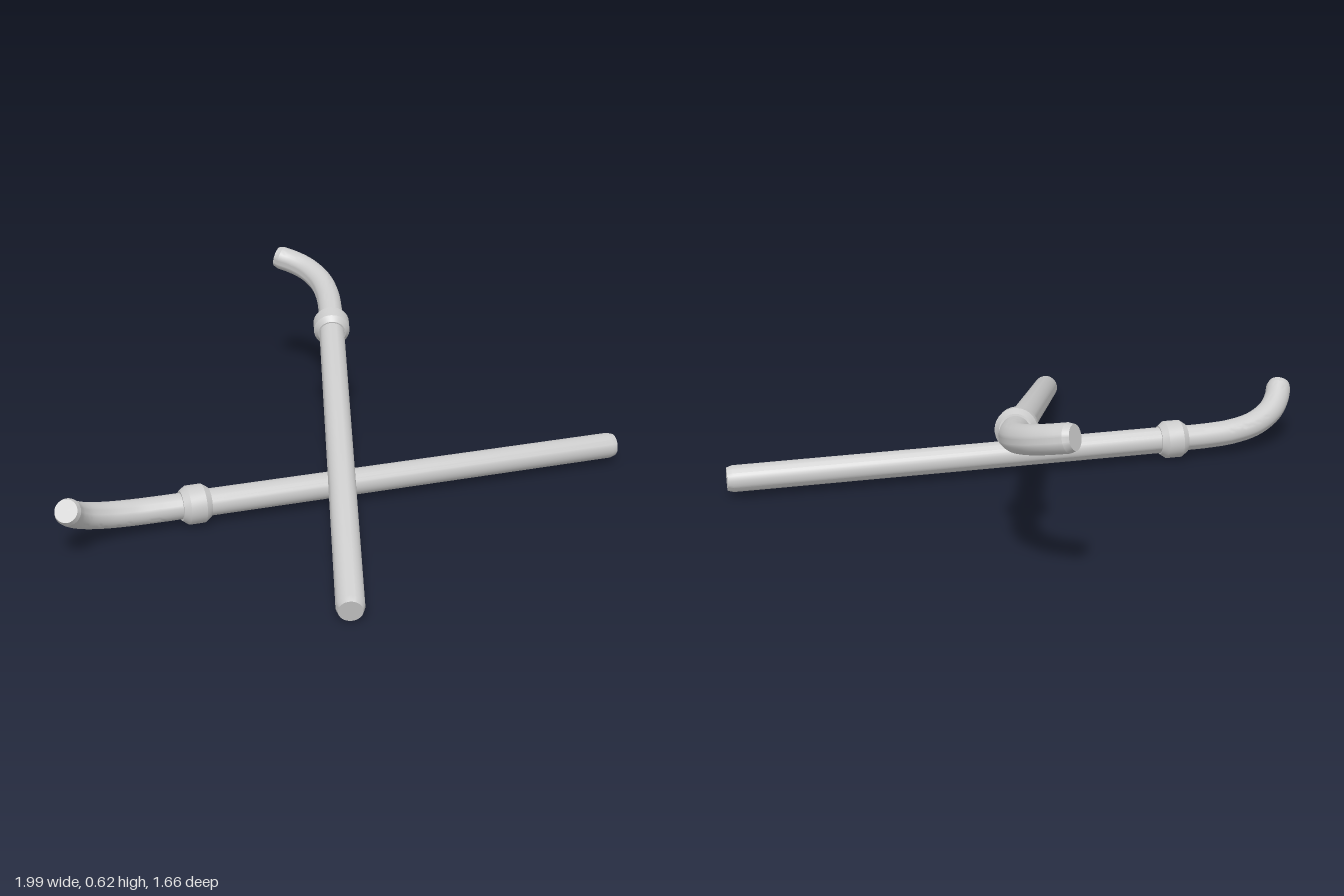
import * as THREE from 'three';
import { toCreasedNormals } from 'three/addons/utils/BufferGeometryUtils.js';

const SIDES = 32;
const material = new THREE.MeshStandardMaterial({ color: 0xcccccc });

function addMesh(parent, geometry, name) {
  const mesh = new THREE.Mesh(toCreasedNormals(geometry, 0.45), material);
  mesh.name = name;
  parent.add(mesh);
  return mesh;
}

// Lathe around the y axis; profile points are [radius, height] from bottom to top
function lathe(profile) {
  return new THREE.LatheGeometry(profile.map(([r, y]) => new THREE.Vector2(r, y)), SIDES);
}

// One pipe: the collar sits at the origin, the straight tube runs along -x,
// and the spout leaves along +x and curves towards +y
function makePipe(name, tail, collar, bendDirection) {
  const pipe = new THREE.Group();
  pipe.name = name;
  const length = tail.distanceTo(collar);

  // Straight tube with a chamfered closed end
  const straight = lathe([
    [0, -length], [0.043, -length], [0.05, -length + 0.022], [0.051, 0],
  ]).rotateZ(-Math.PI / 2);
  addMesh(pipe, straight, 'straightTube');

  // Chamfered collar
  const ring = lathe([
    [0.045, -0.054], [0.056, -0.054], [0.073, -0.03],
    [0.073, 0.03], [0.056, 0.054], [0.045, 0.054],
  ]).rotateZ(-Math.PI / 2);
  addMesh(pipe, ring, 'collar');

  // Curved spout
  const curve = new THREE.CatmullRomCurve3([
    [0, 0], [0.14, 0.001], [0.25, 0.01], [0.35, 0.037],
    [0.433, 0.09], [0.48, 0.15], [0.503, 0.2],
  ].map(([x, y]) => new THREE.Vector3(x, y, 0)));
  addMesh(pipe, new THREE.TubeGeometry(curve, 40, 0.049, SIDES), 'curvedSpout');

  // Chamfered end of the spout
  const tip = addMesh(pipe, lathe([[0.049, 0], [0.042, 0.022], [0, 0.022]]), 'spoutEnd');
  tip.position.copy(curve.getPoint(1));
  tip.quaternion.setFromUnitVectors(new THREE.Vector3(0, 1, 0), curve.getTangent(1));

  // Lay the pipe in place, rolled so that the spout bends the right way
  const along = collar.clone().sub(tail).normalize();
  const side = bendDirection.clone().addScaledVector(along, -bendDirection.dot(along)).normalize();
  pipe.quaternion.setFromRotationMatrix(
    new THREE.Matrix4().makeBasis(along, side, along.clone().cross(side)));
  pipe.position.copy(collar);
  return pipe;
}

export function createModel() {
  const group = new THREE.Group();
  group.name = 'crossedPipes';
  const v = (x, y, z) => new THREE.Vector3(x, y, z);
  group.add(
    makePipe('lowerPipe', v(0.972, 0.08, 0.79), v(-0.447, 0.087, -0.195), v(-0.46, 0.6, 0.66)),
    makePipe('upperPipe', v(-0.712, 0.053, 0.697), v(0.62, 0.44, -0.342), v(-0.14, 0.03, -0.168)),
  );
  return group;
}
